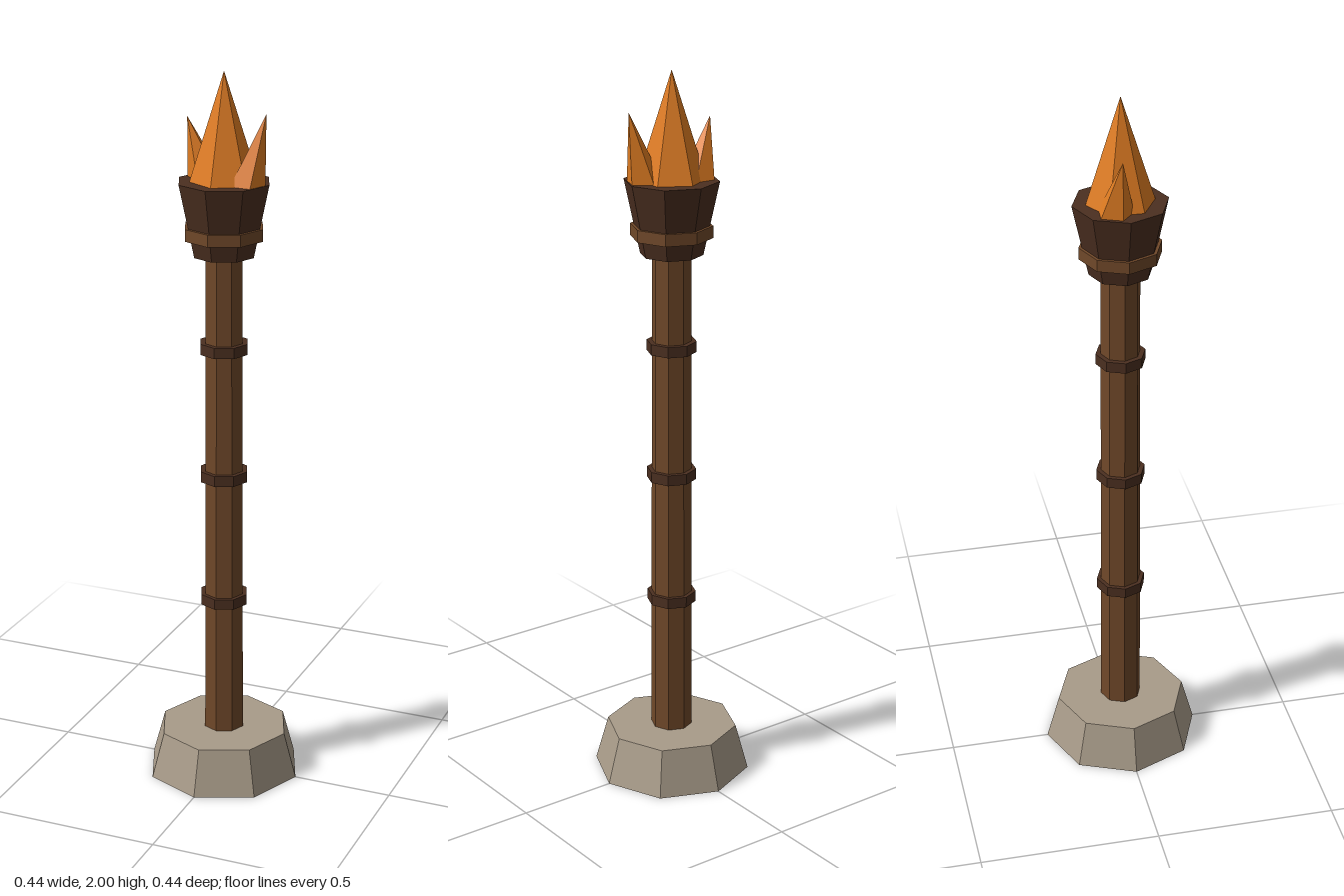
import * as THREE from 'three';

const mat = (name, color) => {
  const m = new THREE.MeshStandardMaterial({ color, flatShading: true });
  m.name = name;
  return m;
};

export function createModel() {
  const stone = mat('stone', 0xa89b89);
  const wood = mat('wood', 0x704829);
  const darkWood = mat('dark wood', 0x4b2f20);
  const fire = mat('flame orange', 0xdf7c22);
  const torch = new THREE.Group();
  torch.name = 'standingTorch';

  // Tapered eight-sided section between two heights
  const section = (name, material, rTop, rBottom, y0, y1) => {
    const mesh = new THREE.Mesh(new THREE.CylinderGeometry(rTop, rBottom, y1 - y0, 8), material);
    mesh.name = name;
    mesh.position.y = (y0 + y1) / 2;
    torch.add(mesh);
  };

  section('stoneBase', stone, 0.184, 0.22, 0, 0.13);
  section('pole', wood, 0.053, 0.058, 0.12, 1.53);

  // Bands around the pole
  [0.525, 0.89, 1.255].forEach((y, i) =>
    section('poleBand' + (i + 1), darkWood, 0.068, 0.068, y - 0.015, y + 0.015));

  // Flared bowl and its band
  section('bowl', darkWood, 0.128, 0.085, 1.51, 1.71);
  section('bowlBand', wood, 0.111, 0.111, 1.557, 1.59);

  // Pointed flame whose tip leans away from its base by a shear
  const flame = (name, sides, radius, base, tip, turn) => {
    const h = tip[1] - base[1];
    const g = new THREE.ConeGeometry(radius, h, sides).rotateY(turn).translate(0, h / 2, 0);
    const p = g.attributes.position;
    for (let i = 0; i < p.count; i++) {
      const t = p.getY(i) / h;
      p.setX(i, p.getX(i) + t * (tip[0] - base[0]));
      p.setZ(i, p.getZ(i) + t * (tip[2] - base[2]));
    }
    g.computeVertexNormals();
    const mesh = new THREE.Mesh(g, fire);
    mesh.name = name;
    mesh.position.set(...base);
    torch.add(mesh);
  };
  flame('mainFlame', 6, 0.095, [0, 1.7, 0], [0, 2, 0], 0);
  flame('leftFlame', 5, 0.052, [0.07, 1.7, 0.022], [0.125, 1.9, 0.017], 0.55);
  flame('rightFlame', 5, 0.052, [-0.06, 1.7, -0.028], [-0.112, 1.87, -0.018], 0.55 + Math.PI);

  return torch;
}
